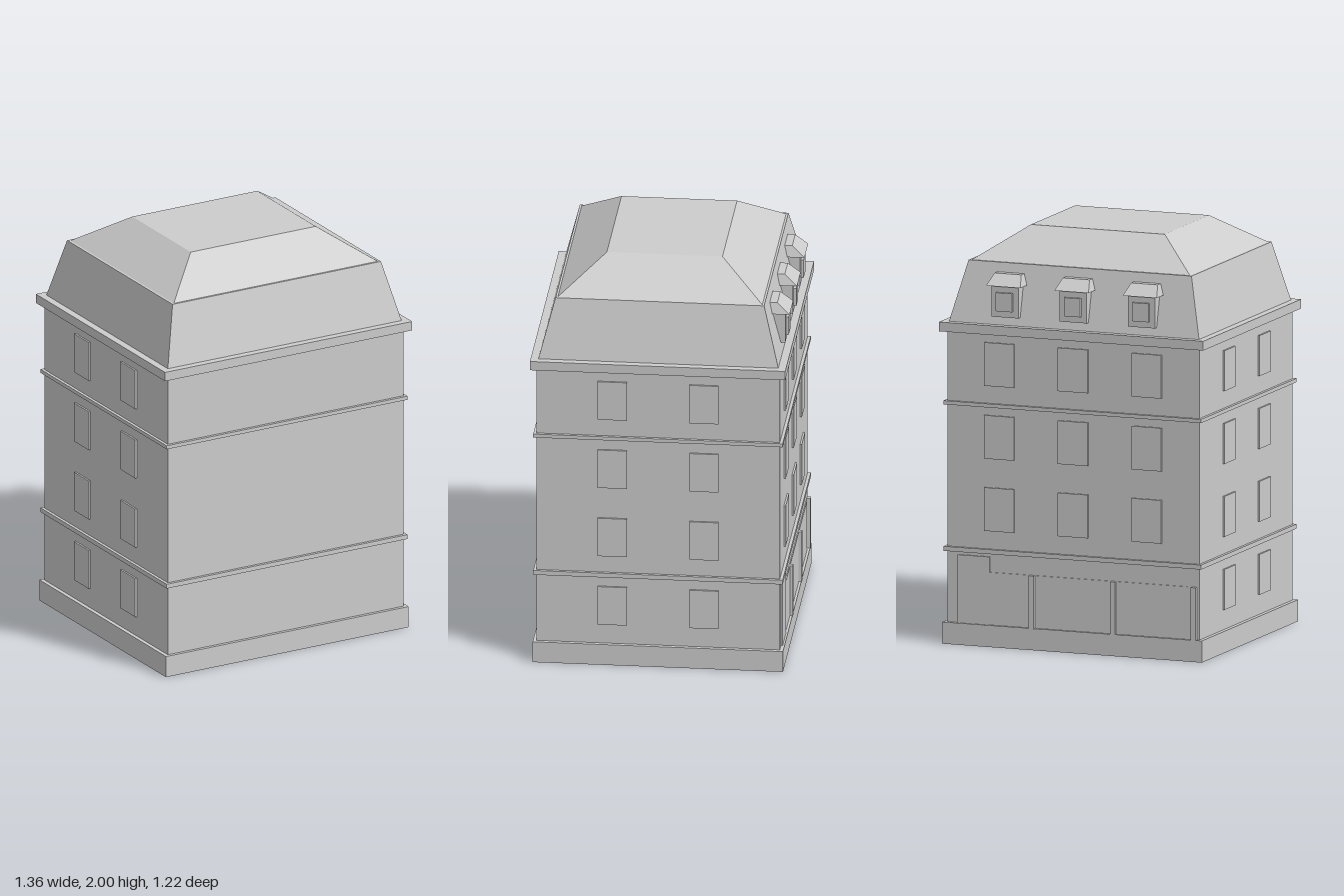
import * as THREE from 'three';

export function createModel() {
  const model = new THREE.Group();
  model.name = 'townhouse';
  const stone = new THREE.MeshStandardMaterial({ color: 0xcccccc });
  stone.name = 'pale stone';

  function add(name, geometry, parent = model) {
    const mesh = new THREE.Mesh(geometry, stone);
    mesh.name = name;
    parent.add(mesh);
    return mesh;
  }

  // Box given by its limits on each axis
  function block(name, x0, x1, y0, y1, z0, z1, parent) {
    const g = new THREE.BoxGeometry(x1 - x0, y1 - y0, z1 - z0);
    g.translate((x0 + x1) / 2, (y0 + y1) / 2, (z0 + z1) / 2);
    return add(name, g, parent);
  }

  // Box whose top rectangle differs from its bottom one: [x0, x1, z0, z1]
  function frustum(name, y0, y1, bottom, top, parent) {
    const g = new THREE.BoxGeometry(1, 1, 1);
    const p = g.attributes.position;
    for (let i = 0; i < p.count; i++) {
      const up = p.getY(i) > 0;
      const r = up ? top : bottom;
      p.setXYZ(i, r[p.getX(i) > 0 ? 1 : 0], up ? y1 : y0, r[p.getZ(i) > 0 ? 3 : 2]);
    }
    g.computeVertexNormals();
    return add(name, g, parent);
  }

  // Centred horizontal layer with half sizes hx, hz
  const layer = (name, hx, hz, y0, y1) => block(name, -hx, hx, y0, y1, -hz, hz);
  const rect = (hx, hz) => [-hx, hx, -hz, hz];

  // Main volume and mouldings
  layer('plinth', 0.67, 0.6, 0, 0.105);
  layer('walls', 0.65, 0.583, 0.1, 1.53);
  layer('lowerStringCourse', 0.665, 0.598, 0.45, 0.472);
  layer('upperStringCourse', 0.665, 0.598, 1.16, 1.178);
  layer('cornice', 0.682, 0.612, 1.515, 1.56);

  // Two-pitch roof
  frustum('mansardRoof', 1.56, 1.85, rect(0.645, 0.575), rect(0.575, 0.5));
  frustum('upperRoof', 1.85, 2, rect(0.563, 0.49), rect(0.345, 0.277));

  // Side windows, two per floor on both sides
  for (const y of [0.203, 0.557, 0.91, 1.263]) {
    for (const z of [-0.22, 0.22]) {
      for (const s of [-1, 1]) {
        const x = s * 0.654;
        block('sideWindow', x - 0.005, x + 0.005, y, y + 0.196, z - 0.07, z + 0.07);
      }
    }
  }

  // Street windows on the upper floors
  for (const y of [0.56, 0.91, 1.263]) {
    for (const x of [-0.38, 0, 0.38]) {
      block('streetWindow', x - 0.077, x + 0.077, y, y + 0.21, -0.592, -0.583);
    }
  }

  // Shopfront panes, pilasters and door
  for (const x of [-0.4, 0, 0.4]) {
    block('shopPane', x - 0.19, x + 0.19, 0.1, 0.36, -0.588, -0.582);
  }
  for (const x of [-0.625, -0.21, 0.21]) {
    block('pilaster', x - 0.013, x + 0.013, 0.1, 0.36, -0.602, -0.58);
  }
  block('door', 0.43, 0.595, 0.1, 0.435, -0.591, -0.582);

  // Dormers set into the mansard slope
  for (const x of [-0.352, 0, 0.352]) {
    const dormer = new THREE.Group();
    dormer.name = 'dormer';
    dormer.position.x = x;
    block('dormerBody', -0.07, 0.07, 1.6, 1.755, -0.586, -0.49, dormer);
    block('dormerWindow', -0.042, 0.042, 1.63, 1.72, -0.6, -0.585, dormer);
    frustum('dormerRoof', 1.752, 1.805,
      [-0.088, 0.088, -0.608, -0.44], [-0.069, 0.069, -0.548, -0.46], dormer);
    model.add(dormer);
  }

  return model;
}
